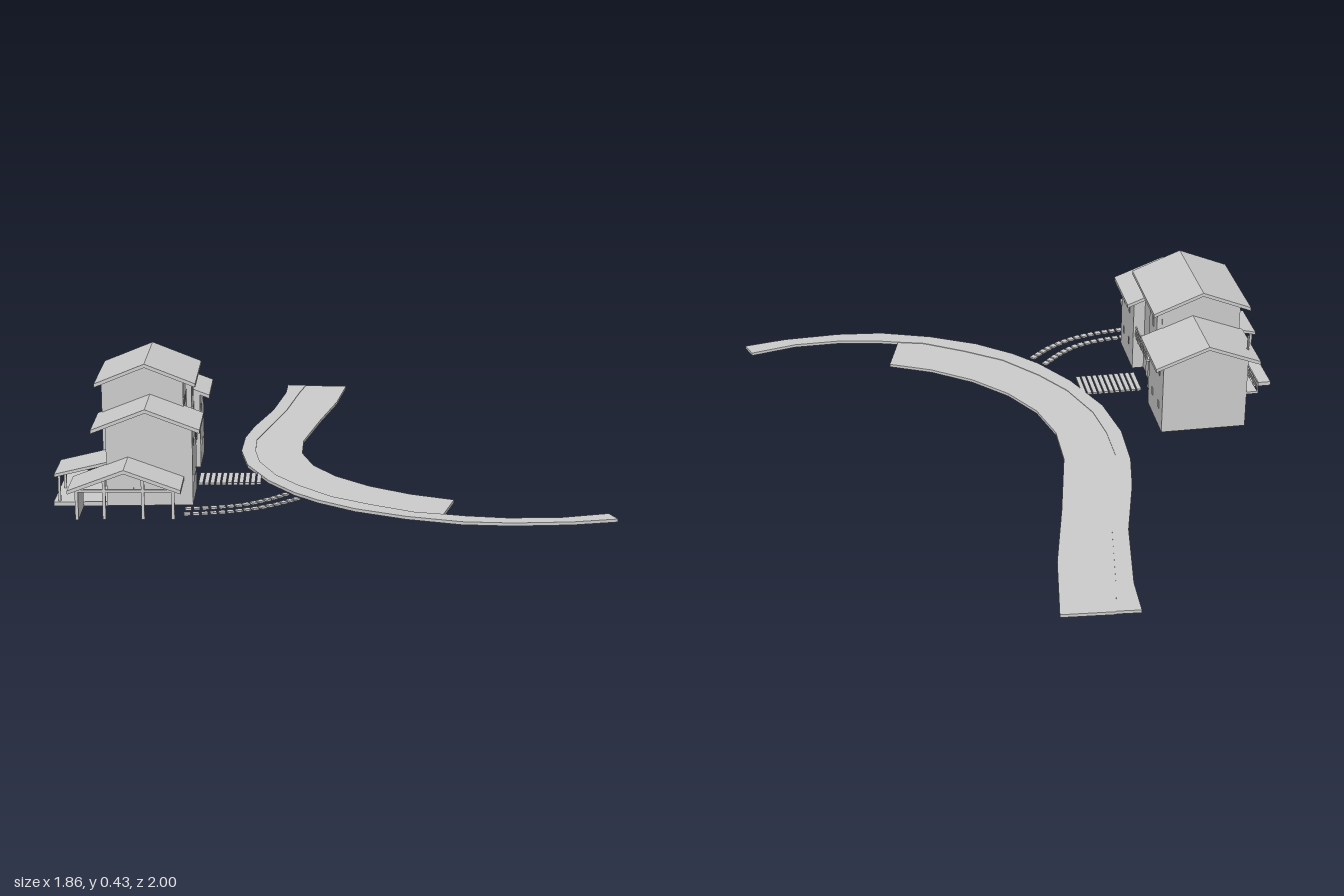
import * as THREE from 'three';

const grey = new THREE.MeshStandardMaterial({ color: 0xcccccc, flatShading: true, side: THREE.DoubleSide });

function add(parent, geo, name) {
  const mesh = new THREE.Mesh(geo, grey);
  mesh.name = name;
  parent.add(mesh);
  return mesh;
}

// box given by its limits on each axis
function box(parent, name, x0, x1, y0, y1, z0, z1) {
  const geo = new THREE.BoxGeometry(x1 - x0, y1 - y0, z1 - z0);
  geo.translate((x0 + x1) / 2, (y0 + y1) / 2, (z0 + z1) / 2);
  return add(parent, geo, name);
}

// profile of [z, y] points pushed along x from x0 to x1
function prism(parent, name, pts, x0, x1) {
  const shape = new THREE.Shape(pts.map(([z, y]) => new THREE.Vector2(z, y)));
  const geo = new THREE.ExtrudeGeometry(shape, { depth: x1 - x0, bevelEnabled: false });
  geo.rotateY(-Math.PI / 2).translate(x1, 0, 0);
  return add(parent, geo, name);
}

const THICK = 0.012;

// gabled roof slab with its ridge along x
function gableRoof(parent, name, x0, x1, z0, z1, eave, ridge) {
  const m = (z0 + z1) / 2;
  prism(parent, name, [[z0, eave], [m, ridge], [z1, eave],
    [z1, eave - THICK], [m, ridge - THICK], [z0, eave - THICK]], x0, x1);
}

// walls that rise to meet the underside of a gabled roof
function gableWalls(parent, name, x0, x1, z0, z1, roof) {
  const m = (roof.z0 + roof.z1) / 2;
  const slope = (roof.ridge - roof.eave) / ((roof.z1 - roof.z0) / 2);
  const top = (z) => roof.ridge - THICK / 2 - slope * Math.abs(z - m);
  prism(parent, name, [[z0, 0.006], [z1, 0.006], [z1, top(z1)], [m, top(m)], [z0, top(z0)]], x0, x1);
}

function wing(parent, name, roof, w) {
  gableRoof(parent, name + 'Roof', roof.x0, roof.x1, roof.z0, roof.z1, roof.eave, roof.ridge);
  gableWalls(parent, name + 'Walls', w[0], w[1], w[2], w[3], roof);
}

// balcony with floor, posts and rails on its outer side
function balcony(parent, name, x0, x1, zWall, zOut) {
  const g = new THREE.Group();
  g.name = name;
  const [a, b] = [Math.min(zWall, zOut), Math.max(zWall, zOut)];
  box(g, 'balconyFloor', x0, x1, 0.122, 0.13, a, b);
  for (const y of [0.14, 0.15, 0.162]) box(g, 'balconyRail', x0, x1, y, y + 0.004, zOut - 0.002, zOut + 0.002);
  for (let i = 0; i <= 4; i++) {
    const x = x0 + (x1 - x0) * i / 4;
    box(g, 'balconyPost', x - 0.002, x + 0.002, 0.122, 0.166, zOut - 0.002, zOut + 0.002);
  }
  parent.add(g);
}

// flat strip between two edges of [x, z] points
function ribbon(parent, name, edgeA, edgeB, y0, y1) {
  const pts = [...edgeA, ...edgeB.slice().reverse()].map(([x, z]) => new THREE.Vector2(x, -z));
  const geo = new THREE.ExtrudeGeometry(new THREE.Shape(pts), { depth: y1 - y0, bevelEnabled: false });
  geo.rotateX(-Math.PI / 2).translate(0, y0, 0);
  add(parent, geo, name);
}

// row of small slabs following a curve
function slabTrack(parent, name, pts, count) {
  const curve = new THREE.CatmullRomCurve3(pts.map(([x, z]) => new THREE.Vector3(x, 0.007, z)));
  for (let i = 0; i < count; i++) {
    const t = (i + 0.5) / count;
    const slab = add(parent, new THREE.BoxGeometry(0.02, 0.006, 0.02), name);
    const d = curve.getTangentAt(t);
    slab.position.copy(curve.getPointAt(t));
    slab.rotation.y = Math.atan2(-d.z, d.x);
  }
}

function buildHouse() {
  // local x runs along the ridges, local z points to the road side
  const h = new THREE.Group();
  h.name = 'house';
  h.rotation.y = Math.PI / 4;

  // three main volumes
  wing(h, 'lowerWing', { x0: -0.368, x1: -0.145, z0: -0.75, z1: -0.408, eave: 0.257, ridge: 0.323 },
    [-0.348, -0.155, -0.705, -0.433]);
  wing(h, 'centreBlock', { x0: -0.19, x1: 0.146, z0: -0.756, z1: -0.431, eave: 0.363, ridge: 0.428 },
    [-0.163, 0.095, -0.735, -0.472]);
  wing(h, 'farWing', { x0: 0.09, x1: 0.322, z0: -0.747, z1: -0.402, eave: 0.257, ridge: 0.323 },
    [0.09, 0.292, -0.714, -0.434]);

  // stair tower beside the recessed entrance
  box(h, 'stairTower', -0.014, 0.092, 0.006, 0.355, -0.475, -0.455);
  for (const y of [0.06, 0.13, 0.2, 0.27]) box(h, 'towerWindow', 0.03, 0.05, y, y + 0.035, -0.46, -0.453);

  // carport with posts
  gableRoof(h, 'carportRoof', -0.502, -0.34, -0.811, -0.461, 0.1, 0.165);
  for (const z of [-0.785, -0.7, -0.58, -0.487]) {
    const top = 0.155 - 0.37 * Math.abs(z + 0.636);
    box(h, 'carportPost', -0.48, -0.47, 0, top, z - 0.005, z + 0.005);
  }
  box(h, 'carportBeam', -0.48, -0.47, 0.088, 0.096, -0.79, -0.482);
  box(h, 'carportBackWall', -0.475, -0.345, 0, 0.094, -0.79, -0.78);

  // rear terrace and its lean-to roof
  box(h, 'terrace', -0.335, 0.03, 0, 0.014, -0.876, -0.7);
  prism(h, 'leanToRoof', [[-0.872, 0.105], [-0.7, 0.145], [-0.7, 0.135], [-0.872, 0.095]], -0.335, -0.165);
  for (const x of [-0.325, -0.18]) box(h, 'leanToPost', x, x + 0.008, 0.01, 0.1, -0.862, -0.854);

  balcony(h, 'entranceBalcony', -0.155, 0.018, -0.475, -0.442);
  balcony(h, 'rearBalcony', 0.095, 0.29, -0.71, -0.75);
  box(h, 'entranceDoor', -0.1, -0.05, 0.008, 0.1, -0.474, -0.468);

  // slim flue rising past the rear eave
  const flue = add(h, new THREE.CylinderGeometry(0.004, 0.004, 0.1, 8), 'flue');
  flue.position.set(0.25, 0.265, -0.722);

  // windows on the long sides: [x, y, wall z]
  for (const [x, y, z] of [
    [-0.3, 0.19, -0.433], [-0.22, 0.19, -0.433], [-0.3, 0.07, -0.433], [-0.22, 0.07, -0.433],
    [-0.13, 0.28, -0.472], [-0.1, 0.28, -0.472], [-0.05, 0.28, -0.472],
    [0.15, 0.19, -0.434], [0.24, 0.19, -0.434], [0.15, 0.07, -0.434], [0.24, 0.07, -0.434],
    [-0.28, 0.19, -0.705], [0.15, 0.19, -0.714], [0.24, 0.19, -0.714],
    [-0.09, 0.28, -0.735], [0.03, 0.28, -0.735],
  ]) box(h, 'window', x - 0.007, x + 0.007, y, y + 0.025, z - 0.002, z + 0.002);
  // windows on the gable end above the carport
  for (const z of [-0.63, -0.51]) box(h, 'gableWindow', -0.35, -0.346, 0.04, 0.075, z - 0.01, z + 0.01);

  // plank path down to the road
  for (let i = 0; i < 11; i++) {
    const z = -0.43 + i * 0.019;
    box(h, 'pathPlank', -0.115, 0.005, 0.004, 0.011, z, z + 0.014);
  }
  return h;
}

export function createModel() {
  const model = new THREE.Group();
  model.name = 'houseByRoad';
  model.add(buildHouse());

  // curved road with a footpath along its house side
  const outer = [[0.778, -1], [0.68, -0.91], [0.455, -0.746], [0.24, -0.62], [0.11, -0.53], [-0.02, -0.41],
    [-0.127, -0.265], [-0.206, -0.08], [-0.243, 0.08], [-0.249, 0.196], [-0.233, 0.344], [-0.18, 0.51],
    [-0.1, 0.67], [0, 0.79], [0.14, 0.915], [0.26, 0.995]];
  const kerb = [[0.825, -0.945], [0.72, -0.875], [0.49, -0.71], [0.28, -0.58], [0.12, -0.48], [0.015, -0.375],
    [-0.07, -0.265], [-0.143, -0.11], [-0.175, 0.03], [-0.19, 0.196], [-0.165, 0.344], [-0.127, 0.497],
    [-0.08, 0.577]];
  const pathEnd = [[-0.045, 0.64], [0.03, 0.746], [0.15, 0.86], [0.286, 0.94]];
  const far = [[0.93, -0.825], [0.72, -0.67], [0.48, -0.52], [0.23, -0.355], [0.11, -0.24], [0.03, -0.106],
    [-0.01, 0.04], [-0.016, 0.196], [0.01, 0.354], [0.063, 0.497]];
  ribbon(model, 'footpath', outer, [...kerb, ...pathEnd], 0.002, 0.012);
  ribbon(model, 'road', kerb, far, 0, 0.01);

  // twin wheel tracks from the carport to the road
  slabTrack(model, 'wheelTrackSlab', [[-0.64, -0.01], [-0.55, 0.055], [-0.46, 0.1], [-0.36, 0.122], [-0.265, 0.125]], 15);
  slabTrack(model, 'wheelTrackSlab', [[-0.6, -0.05], [-0.52, 0.01], [-0.44, 0.05], [-0.36, 0.065], [-0.255, 0.065]], 14);
  return model;
}
